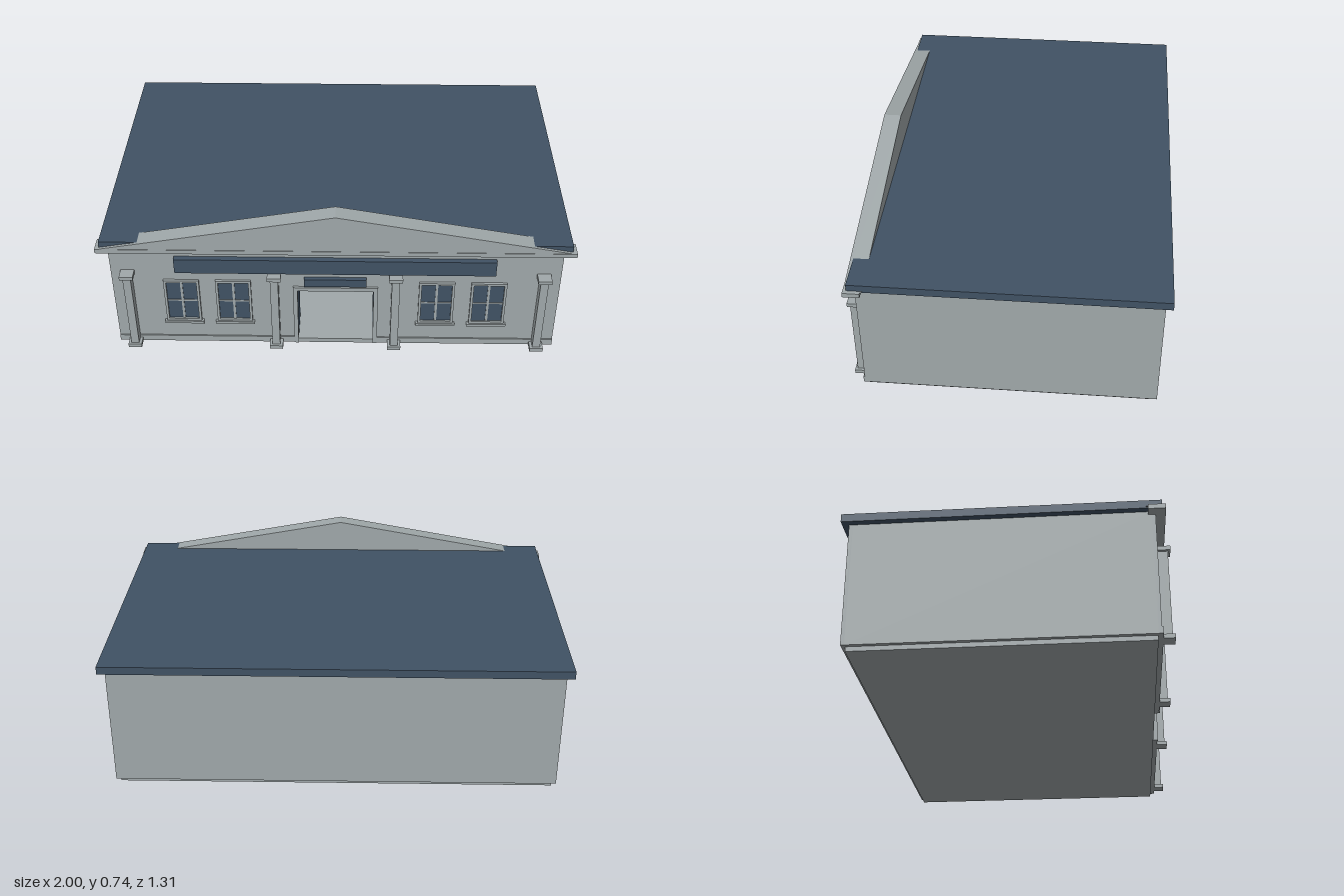
import * as THREE from 'three';

export function createModel() {
  const model = new THREE.Group();
  model.name = 'building';
  const stone = new THREE.MeshStandardMaterial({ name: 'grey stone', color: 0xa0a8aa });
  const navy = new THREE.MeshStandardMaterial({ name: 'slate blue', color: 0x405264 });

  const add = (name, geometry, material, parent = model) => {
    const mesh = new THREE.Mesh(geometry, material);
    mesh.name = name;
    parent.add(mesh);
    return mesh;
  };
  // Box given by its extents on each axis
  const box = (name, material, [x0, x1], [y0, y1], [z0, z1], parent = model) => {
    const mesh = add(name, new THREE.BoxGeometry(x1 - x0, y1 - y0, z1 - z0), material, parent);
    mesh.position.set((x0 + x1) / 2, (y0 + y1) / 2, (z0 + z1) / 2);
    return mesh;
  };
  // Outline in x and y, pushed from z0 to z1
  const slab = (name, material, points, z0, z1) => {
    const shape = new THREE.Shape(points.map(([x, y]) => new THREE.Vector2(x, y)));
    const geometry = new THREE.ExtrudeGeometry(shape, { depth: z1 - z0, bevelEnabled: false });
    add(name, geometry, material).position.z = z0;
  };

  // Hollow shell
  box('floorSlab', stone, [-0.938, 0.938], [0, 0.022], [-0.612, 0.588]);
  box('backWall', stone, [-0.955, 0.955], [0.02, 0.558], [-0.628, -0.612]);
  for (const [name, s] of [['leftWall', 1], ['rightWall', -1]]) {
    const x = [0.938 * s, 0.955 * s].sort((a, b) => a - b);
    box(name, stone, x, [0.02, 0.558], [-0.612, 0.588]);
  }
  slab('frontWall', stone, [
    [-0.955, 0.02], [-0.172, 0.02], [-0.172, 0.33], [0.172, 0.33],
    [0.172, 0.02], [0.955, 0.02], [0.955, 0.558], [-0.955, 0.558],
  ], 0.588, 0.603);
  for (const s of [-1, 1]) {
    const x = [0.18 * s, 0.955 * s].sort((a, b) => a - b);
    box('skirting', stone, x, [0.02, 0.05], [0.6, 0.609]);
  }

  // Roof, cornice and pediment
  box('roof', navy, [-0.983, 0.983], [0.558, 0.593], [-0.656, 0.629]);
  box('cornice', stone, [-1, 1], [0.544, 0.564], [0.573, 0.643]);
  slab('pediment', stone, [[-0.99, 0.563], [0.99, 0.563], [0, 0.74]], 0.565, 0.641);

  // Doorway with two leaves swung inwards
  slab('doorFrame', stone, [
    [-0.182, 0.02], [-0.163, 0.02], [-0.163, 0.321], [0.163, 0.321],
    [0.163, 0.02], [0.182, 0.02], [0.182, 0.34], [-0.182, 0.34],
  ], 0.588, 0.613);
  for (const s of [-1, 1]) {
    const x = [0.164 * s, 0.172 * s].sort((a, b) => a - b);
    box('doorLeaf', navy, x, [0.022, 0.321], [0.43, 0.588]);
  }
  box('doorSign', navy, [-0.134, 0.132], [0.354, 0.393], [0.6, 0.622]);
  box('longSign', navy, [-0.68, 0.676], [0.427, 0.5], [0.6, 0.627]);

  // Columns
  for (const cx of [-0.883, -0.26, 0.256, 0.881]) {
    const column = new THREE.Group();
    column.name = 'column';
    column.position.x = cx;
    model.add(column);
    box('columnBase', stone, [-0.029, 0.029], [0.02, 0.038], [0.6, 0.655], column);
    box('columnShaft', stone, [-0.017, 0.017], [0.038, 0.406], [0.6, 0.645], column);
    box('columnCapital', stone, [-0.029, 0.029], [0.406, 0.424], [0.6, 0.655], column);
  }

  // Windows
  for (const cx of [-0.66, -0.438, 0.433, 0.655]) {
    const win = new THREE.Group();
    win.name = 'window';
    win.position.x = cx;
    model.add(win);
    box('glass', navy, [-0.066, 0.066], [0.156, 0.362], [0.6, 0.606], win);
    for (const s of [-1, 1]) {
      const x = [0.065 * s, 0.076 * s].sort((a, b) => a - b);
      box('sideFrame', stone, x, [0.146, 0.372], [0.6, 0.614], win);
    }
    box('topFrame', stone, [-0.065, 0.065], [0.361, 0.372], [0.6, 0.614], win);
    box('bottomFrame', stone, [-0.065, 0.065], [0.146, 0.157], [0.6, 0.614], win);
    box('mullion', stone, [-0.005, 0.005], [0.157, 0.361], [0.6, 0.61], win);
    box('glazingBar', stone, [-0.065, 0.065], [0.255, 0.262], [0.6, 0.609], win);
    box('sill', stone, [-0.085, 0.085], [0.134, 0.146], [0.6, 0.62], win);
  }
  return model;
}
